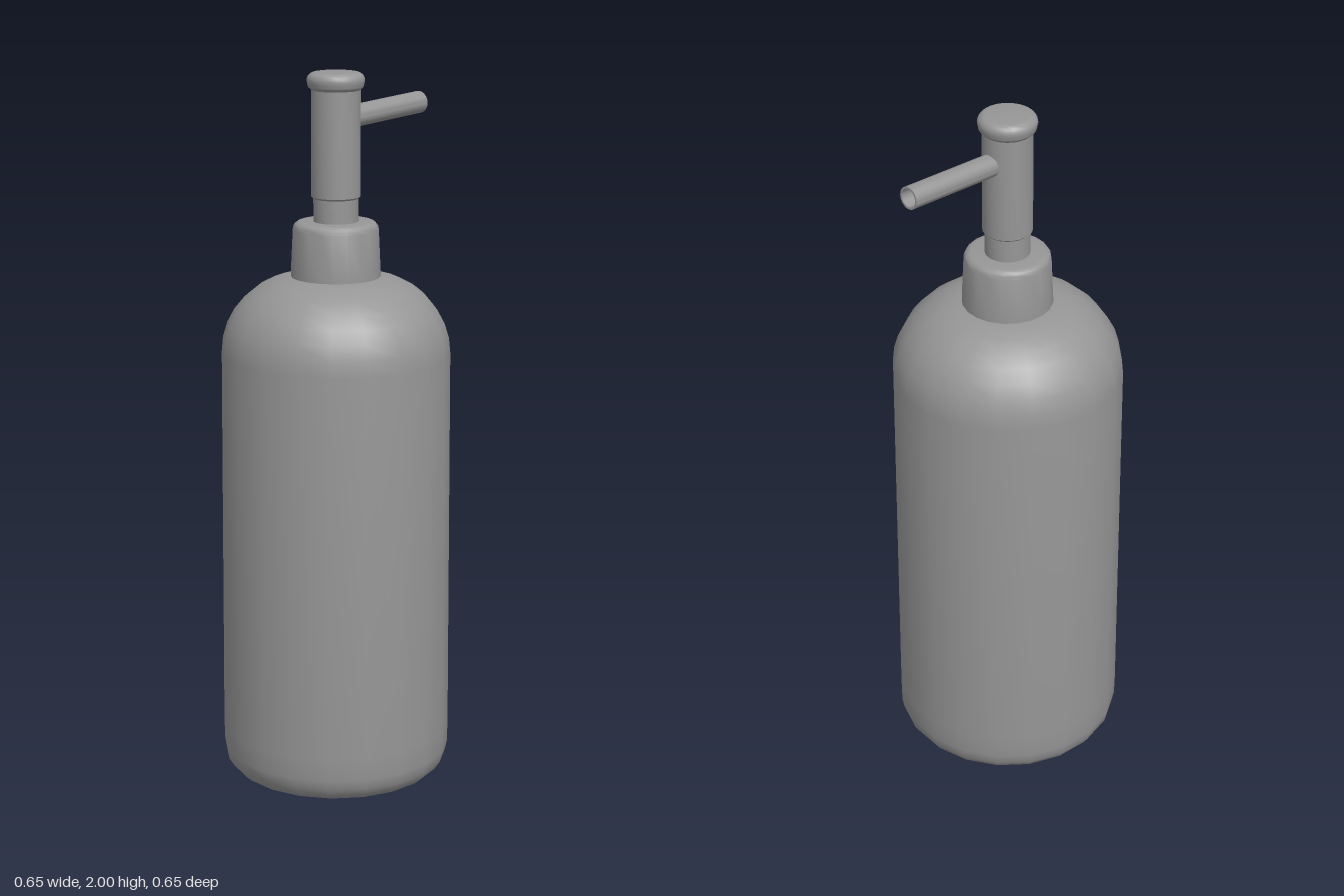
import * as THREE from 'three';
import { toCreasedNormals } from 'three/addons/utils/BufferGeometryUtils.js';

const material = new THREE.MeshStandardMaterial({ color: 0x969696 });

// Points of a quarter round, from angle a0 to a1 in degrees
function arc(cx, cy, r, a0, a1, steps) {
  return Array.from({ length: steps + 1 }, (_, i) => {
    const a = THREE.MathUtils.degToRad(a0 + ((a1 - a0) * i) / steps);
    return [cx + r * Math.cos(a), cy + r * Math.sin(a)];
  });
}

// Turned part with crisp rims and smooth sides
function turned(name, profile, sides) {
  const points = profile.map(([r, y]) => new THREE.Vector2(Math.max(r, 0), y));
  const geometry = toCreasedNormals(new THREE.LatheGeometry(points, sides, 0.06), 0.6);
  const mesh = new THREE.Mesh(geometry, material);
  mesh.name = name;
  return mesh;
}

export function createModel() {
  const group = new THREE.Group();
  group.name = 'pumpBottle';

  // Bottle with rounded foot, slight taper and domed shoulder
  group.add(turned('bottle', [
    [0, 0], [0.29, 0], [0.303, 0.012], [0.318, 0.035], [0.324, 0.065], [0.325, 0.13],
    ...arc(0.1, 1.22, 0.22, 0, 90, 8),
    [0, 1.44],
  ], 20));

  // Slightly tapered collar
  group.add(turned('collar', [
    [0, 1.43], [0.125, 1.43], [0.125, 1.445],
    ...arc(0.098, 1.57, 0.021, 0, 90, 4),
    [0, 1.591],
  ], 20));

  // Pump stem
  group.add(turned('stem', [[0, 1.58], [0.062, 1.58], [0.062, 1.67], [0, 1.67]], 24));

  // Pump head
  group.add(turned('pumpHead', [
    [0, 1.655], [0.063, 1.655], [0.068, 1.66], [0.068, 1.96], [0, 1.96],
  ], 24));

  // Rounded press button
  group.add(turned('button', [
    [0, 1.952], [0.068, 1.952],
    ...arc(0.062, 1.968, 0.016, -60, 0, 3),
    ...arc(0.058, 1.978, 0.022, 0, 90, 5),
    [0, 2],
  ], 24));

  // Hollow spout, slightly raised toward the tip
  const start = new THREE.Vector3(0, 1.87, 0);
  const reach = new THREE.Vector3(0.285, 1.887, -0.201).sub(start);
  const length = reach.length();
  const spout = turned('spout', [
    [0, 0], [0.031, 0], [0.031, length], [0.025, length], [0.025, 0.08], [0, 0.08],
  ], 20);
  spout.position.copy(start);
  spout.quaternion.setFromUnitVectors(new THREE.Vector3(0, 1, 0), reach.normalize());
  group.add(spout);

  return group;
}
